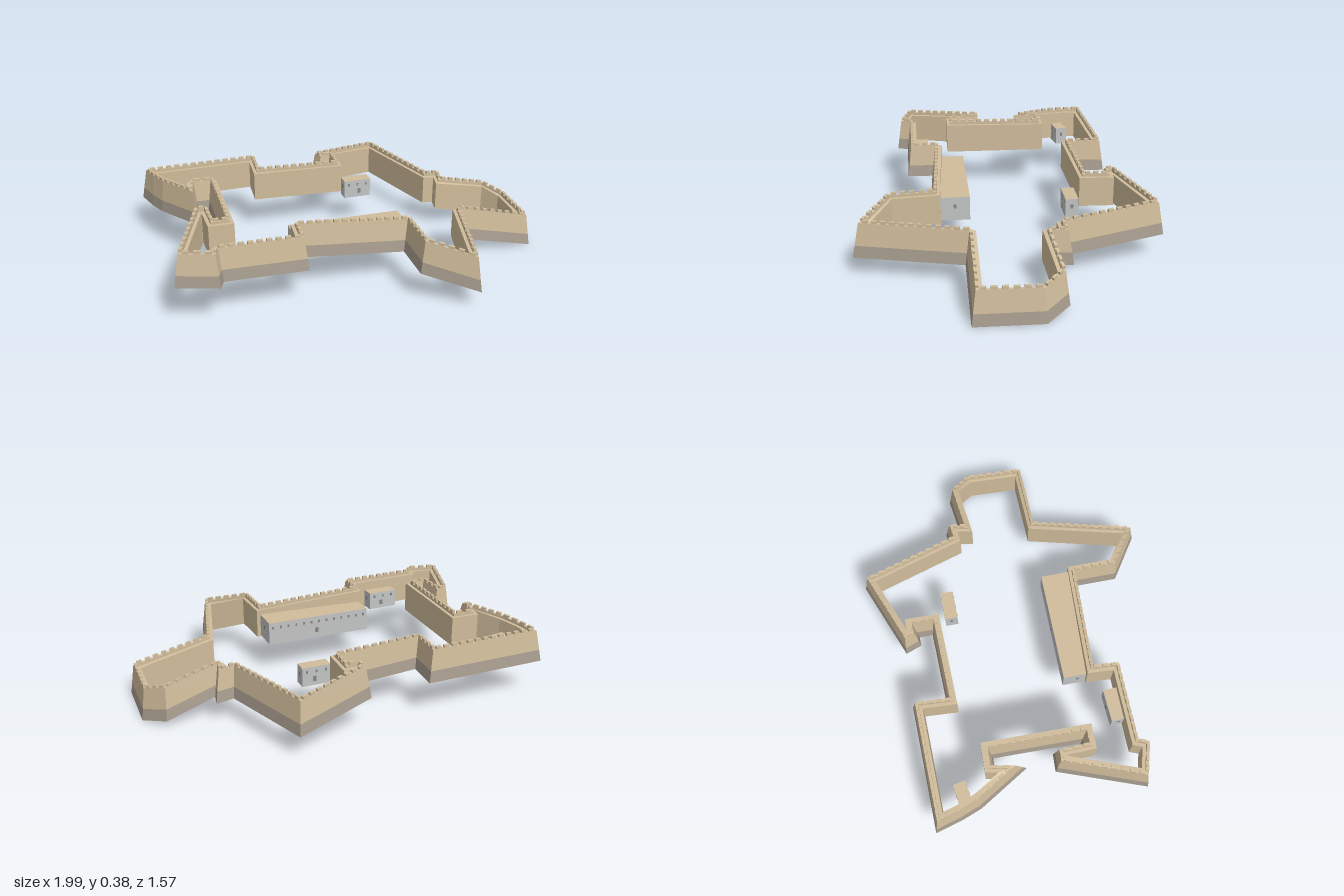
import * as THREE from 'three';
import { mergeGeometries } from 'three/addons/utils/BufferGeometryUtils.js';

// Outline corners at the wall foot: x, z, ground height, wall top height
const CORNERS = [
  [-0.995, -0.145, 0.17, 0.337], [-0.433, -0.39, 0.17, 0.337], [-0.38, -0.235, 0.17, 0.337],
  [-0.04, -0.385, 0.15, 0.32], [-0.064, -0.447, 0.148, 0.318], [-0.105, -0.428, 0.15, 0.32],
  [-0.162, -0.49, 0.148, 0.316], [0.15, -0.785, 0.113, 0.282], [0.465, -0.41, 0.107, 0.275],
  [0.54, -0.45, 0.1, 0.268], [0.555, -0.375, 0.098, 0.265], [0.765, -0.485, 0.03, 0.2],
  [0.89, -0.42, 0.002, 0.17], [0.998, -0.13, 0, 0.17], [0.652, 0.01, 0.088, 0.258],
  [0.722, 0.515, 0.088, 0.262], [0.45, 0.463, 0.138, 0.308], [0.37, 0.278, 0.147, 0.315],
  [-0.08, 0.437, 0.18, 0.353], [-0.04, 0.552, 0.18, 0.35], [-0.395, 0.70, 0.188, 0.355],
  [-0.395, 0.757, 0.188, 0.355], [-0.592, 0.78, 0.192, 0.358], [-0.61, 0.343, 0.2, 0.375],
  [-0.53, 0.315, 0.2, 0.375], [-0.472, 0.443, 0.2, 0.375], [-0.452, 0.435, 0.2, 0.375],
  [-0.605, 0.043, 0.198, 0.367], [-0.65, 0.06, 0.198, 0.367], [-0.62, 0.207, 0.2, 0.367],
  [-0.845, 0.037, 0.183, 0.353], [-0.915, -0.04, 0.176, 0.345],
];
const N = CORNERS.length;

// Inward miter direction at every corner
const MITERS = CORNERS.map((c, i) => {
  const inward = (a, b) => new THREE.Vector2(a[1] - b[1], b[0] - a[0]).normalize();
  const n1 = inward(CORNERS[(i + N - 1) % N], c);
  const n2 = inward(c, CORNERS[(i + 1) % N]);
  const dot = n1.dot(n2);
  return n1.add(n2).divideScalar(1 + dot);
});

// Wall cross-section: inward offset, height above ground or below the top
const SECTION = [
  { o: 0, up: 0 }, { o: 0.007, up: 0.056 }, { o: 0.02, down: 0.012 }, { o: 0.034, down: 0.012 },
  { o: 0.034, down: 0.024 }, { o: 0.05, down: 0.024 }, { o: 0.05, up: 0 },
];

function wallPoint(i, s) {
  const k = i % N, [x, z, base, top] = CORNERS[k];
  const y = s.up !== undefined ? base + s.up : top - s.down;
  return new THREE.Vector3(x + MITERS[k].x * s.o, y, z + MITERS[k].y * s.o);
}

// Ribbon of quads around the circuit between two section points
function ribbon(a, b) {
  const pos = [];
  for (let i = 0; i < N; i++) {
    const p = wallPoint(i, a), q = wallPoint(i, b), r = wallPoint(i + 1, b), s = wallPoint(i + 1, a);
    for (const v of [p, q, r, p, r, s]) pos.push(v.x, v.y, v.z);
  }
  const g = new THREE.BufferGeometry();
  g.setAttribute('position', new THREE.Float32BufferAttribute(pos, 3));
  g.computeVertexNormals();
  return g;
}

function merlonGeometry() {
  const boxes = [];
  for (let i = 0; i < N; i++) {
    const a = wallPoint(i, { o: 0.027, down: 0.006 }), b = wallPoint(i + 1, { o: 0.027, down: 0.006 });
    const run = Math.hypot(b.x - a.x, b.z - a.z);
    const count = Math.max(1, Math.round(run / 0.042));
    for (let k = 0; k < count; k++) {
      const p = a.clone().lerp(b, (k + 0.5) / count);
      const g = new THREE.BoxGeometry((run / count) * 0.6, 0.014, 0.0138);
      g.rotateZ(Math.atan2(b.y - a.y, run));
      g.rotateY(-Math.atan2(b.z - a.z, b.x - a.x));
      g.translate(p.x, p.y, p.z);
      boxes.push(g);
    }
  }
  return mergeGeometries(boxes);
}

export function createModel() {
  const sandstone = new THREE.MeshStandardMaterial({ color: 0xd0bc9b });
  sandstone.name = 'sandstone';
  const footing = new THREE.MeshStandardMaterial({ color: 0xa89d8f });
  footing.name = 'greyFooting';
  const plaster = new THREE.MeshStandardMaterial({ color: 0xc3c4c4, side: THREE.DoubleSide });
  plaster.name = 'greyPlaster';
  const roof = new THREE.MeshStandardMaterial({ color: 0xd0bc9b, side: THREE.DoubleSide });
  roof.name = 'tanRoof';
  const dark = new THREE.MeshStandardMaterial({ color: 0x858788 });
  dark.name = 'windowGrey';

  const model = new THREE.Group();
  model.name = 'fortress';
  const add = (parent, name, geometry, material) => {
    const mesh = new THREE.Mesh(geometry, material);
    mesh.name = name;
    parent.add(mesh);
    return mesh;
  };

  // Ramparts
  add(model, 'wallFooting', ribbon(SECTION[0], SECTION[1]), footing);
  const strips = [];
  for (let s = 1; s < SECTION.length; s++) strips.push(ribbon(SECTION[s], SECTION[(s + 1) % SECTION.length]));
  add(model, 'curtainWall', mergeGeometries(strips), sandstone);
  add(model, 'merlons', merlonGeometry(), sandstone);

  // Inner buildings: flat-roofed shells, open underneath
  function building(name, x, z, length, width, bottom, top, degrees, windows) {
    const h = top - bottom;
    const group = new THREE.Group();
    group.name = name;
    group.position.set(x, bottom, z);
    group.rotation.y = THREE.MathUtils.degToRad(degrees);
    const shell = new THREE.BoxGeometry(length, h, width).translate(0, h / 2, 0);
    shell.groups.splice(3, 1);
    add(group, name + 'Shell', shell, [plaster, plaster, roof, roof, plaster, plaster]);
    // Windows along both long sides, with a door in the middle
    for (const side of [-1, 1]) {
      for (let k = 0; k < windows; k++) {
        const w = add(group, 'window', new THREE.BoxGeometry(0.01, 0.014, 0.003), dark);
        w.position.set(((k + 0.5) / windows - 0.5) * length, h * 0.76, side * width / 2);
      }
      const door = add(group, 'door', new THREE.BoxGeometry(0.016, 0.026, 0.003), dark);
      door.position.set(0.01, h * 0.36, side * width / 2);
      // End window
      const end = add(group, 'endWindow', new THREE.BoxGeometry(0.003, 0.02, 0.012), dark);
      end.position.set(side * length / 2, h * 0.6, 0);
    }
    model.add(group);
  }
  building('barracks', 0.105, 0.262, 0.54, 0.14, 0.155, 0.27, 22.3, 13);
  building('westHouse', -0.815, -0.053, 0.125, 0.06, 0.175, 0.265, 32, 3);
  building('northHouse', 0.098, -0.327, 0.14, 0.062, 0.15, 0.243, 22.5, 3);
  building('southHouse', -0.253, 0.56, 0.155, 0.075, 0.19, 0.28, 25, 3);

  return model;
}
